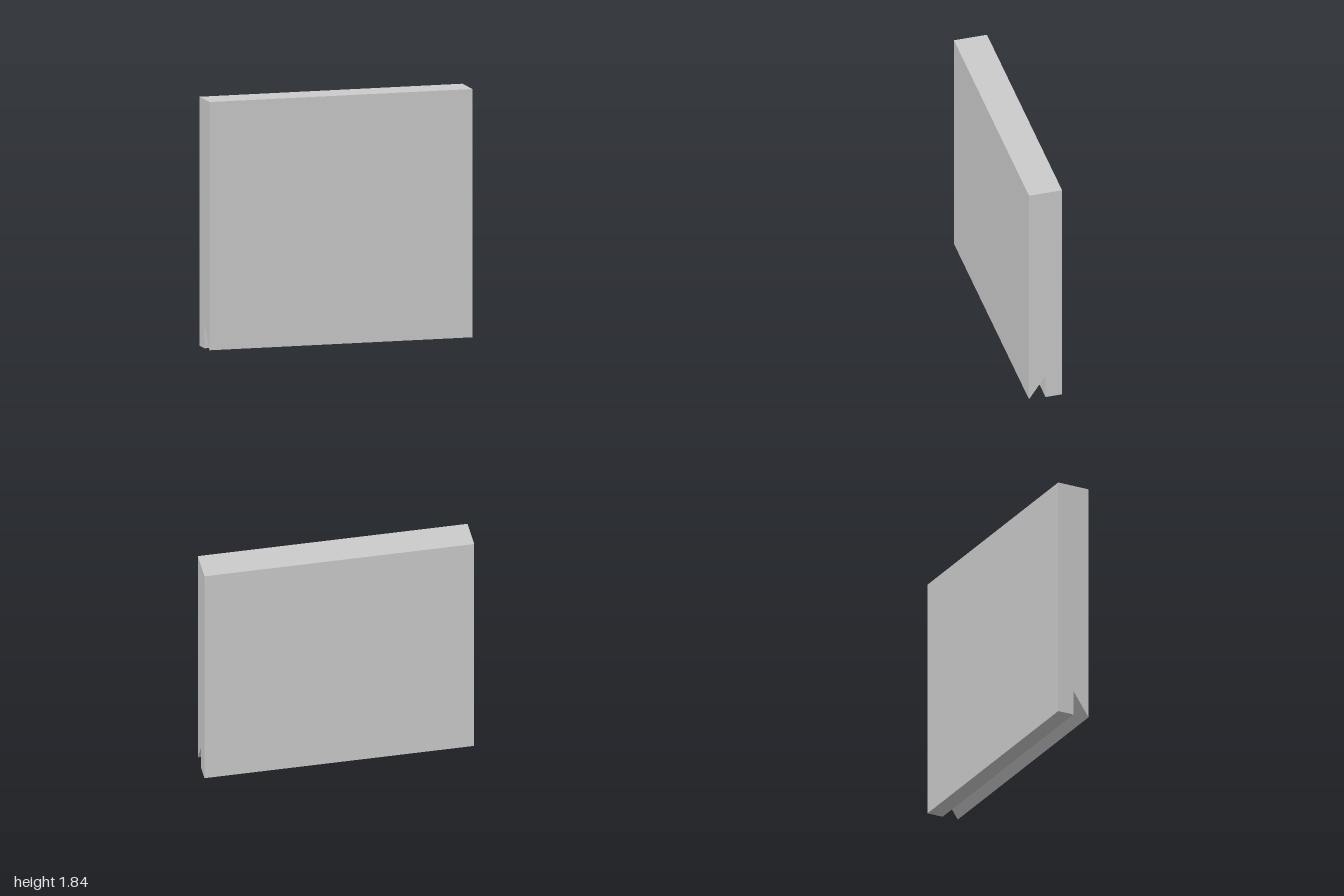
import * as THREE from 'three';

// Side profile as [z, y]: a slab with a slanted groove under its front half
const PROFILE = [
  [-0.125, 0], [0, 0], [0, 0.19], [0.125, 0.005], [0.125, 1.835], [-0.125, 1.835],
];
const WIDTH = 2;

export function createModel() {
  const group = new THREE.Group();
  group.name = 'panel';

  const shape = new THREE.Shape(PROFILE.map(([z, y]) => new THREE.Vector2(z, y)));
  const geometry = new THREE.ExtrudeGeometry(shape, { depth: WIDTH, bevelEnabled: false });
  geometry.translate(0, 0, -WIDTH / 2);
  geometry.rotateY(-Math.PI / 2); // the profile's horizontal axis becomes z

  const slab = new THREE.Mesh(
    geometry,
    new THREE.MeshStandardMaterial({ color: 0xcccccc, flatShading: true }),
  );
  slab.name = 'groovedSlab';
  group.add(slab);
  return group;
}
